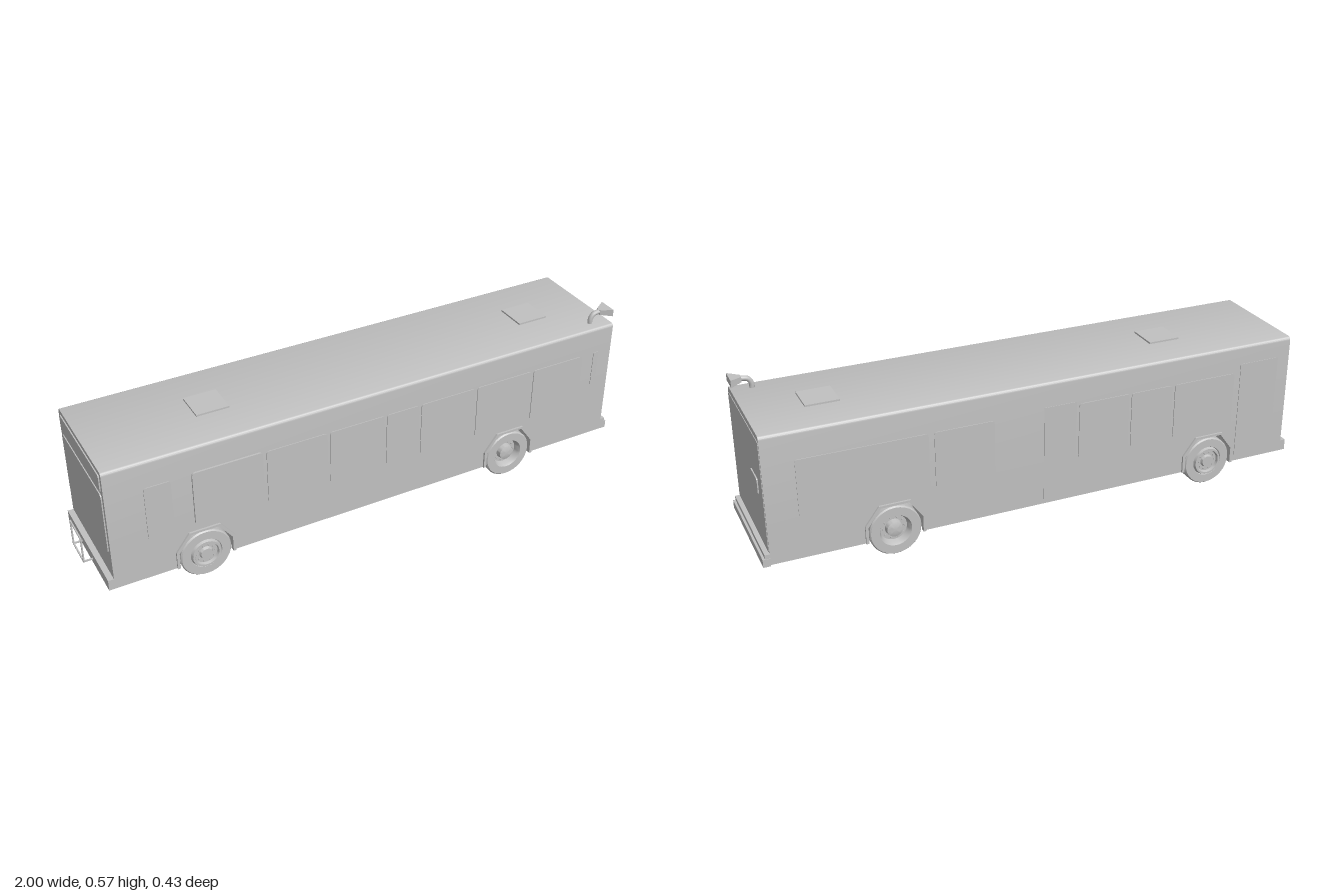
import * as THREE from 'three';
import { toCreasedNormals } from 'three/addons/utils/BufferGeometryUtils.js';

const HALF = 0.205, FLOOR = 0.065, ARCH = 0.2, ROOF = 0.52;
const BACK = 0.975, FRONT = -0.947;
const AXLES = [-0.63, 0.555];

export function createModel() {
  const bus = new THREE.Group();
  bus.name = 'bus';
  const grey = new THREE.MeshStandardMaterial({ color: 0xc0c0c0 });
  grey.name = 'plain grey';

  function add(name, geometry, parent = bus) {
    const mesh = new THREE.Mesh(geometry, grey);
    mesh.name = name;
    parent.add(mesh);
    return mesh;
  }
  function box(name, x0, x1, y0, y1, z0, z1) {
    const mesh = add(name, new THREE.BoxGeometry(x1 - x0, y1 - y0, z1 - z0));
    mesh.position.set((x0 + x1) / 2, (y0 + y1) / 2, (z0 + z1) / 2);
    return mesh;
  }
  const extrude = (shape, depth) =>
    new THREE.ExtrudeGeometry(shape, { depth, bevelEnabled: false, curveSegments: 5 });
  const polygon = (points) => new THREE.Shape(points.map(([x, y]) => new THREE.Vector2(x, y)));

  function roundedRect(w, h, r) {
    const s = new THREE.Shape(), a = w / 2, b = h / 2;
    s.moveTo(-a + r, -b).lineTo(a - r, -b).quadraticCurveTo(a, -b, a, -b + r);
    s.lineTo(a, b - r).quadraticCurveTo(a, b, a - r, b);
    s.lineTo(-a + r, b).quadraticCurveTo(-a, b, -a, b - r);
    s.lineTo(-a, -b + r).quadraticCurveTo(-a, -b, -a + r, -b);
    return s;
  }
  // Raised plate on a long side: side +1 is +z, -1 is -z
  function sidePlate(name, side, x0, x1, y0, y1, thick = 0.003, r = 0.012) {
    const mesh = add(name, extrude(roundedRect(x1 - x0, y1 - y0, r), thick));
    mesh.position.set((x0 + x1) / 2, (y0 + y1) / 2, side * HALF);
    if (side < 0) mesh.rotation.y = Math.PI;
  }
  // Raised plate on an end wall: dir +1 is +x, -1 is -x
  function endPlate(name, dir, z0, z1, y0, y1, thick = 0.003, r = 0.01) {
    const mesh = add(name, extrude(roundedRect(z1 - z0, y1 - y0, r), thick));
    mesh.position.set(dir > 0 ? BACK : FRONT, (y0 + y1) / 2, (z0 + z1) / 2);
    mesh.rotation.y = dir * Math.PI / 2;
  }

  // Upper body: rounded roof section swept along the length
  const r = 0.013;
  const section = new THREE.Shape();
  section.moveTo(-HALF, ARCH).lineTo(HALF, ARCH).lineTo(HALF, ROOF - r);
  section.quadraticCurveTo(HALF, ROOF, HALF - r, ROOF).lineTo(-HALF + r, ROOF);
  section.quadraticCurveTo(-HALF, ROOF, -HALF, ROOF - r);
  const upper = add('upperBody', toCreasedNormals(extrude(section, BACK - FRONT).rotateY(Math.PI / 2), 0.6));
  upper.position.x = FRONT;

  // Lower body in lengthwise slabs: skirts with arches, wheel wells, central floor
  const archPoints = (cx, s) => [
    [cx - 0.097 * s, FLOOR], [cx - 0.097 * s, 0.125], [cx - 0.05 * s, 0.187],
    [cx + 0.05 * s, 0.187], [cx + 0.097 * s, 0.125], [cx + 0.097 * s, FLOOR]];
  const top = [[BACK, ARCH], [FRONT, ARCH]];
  const skirt = polygon([[FRONT, FLOOR], ...AXLES.flatMap((x) => archPoints(x, 0.97)), [BACK, FLOOR], ...top]);
  for (const z of [0.193, -HALF]) add('skirt', extrude(skirt, HALF - 0.193)).position.z = z;

  function floorPiece(x0, x1, z0, z1) {
    box('underfloor', x0, x1, FLOOR, ARCH, z0, z1);
  }
  const well = 0.1;
  for (const [z0, z1] of [[0.085, 0.193], [-0.193, -0.085]]) {
    floorPiece(FRONT, AXLES[0] - well, z0, z1);
    floorPiece(AXLES[0] + well, AXLES[1] - well, z0, z1);
    floorPiece(AXLES[1] + well, 0.77, z0, z1);
  }
  floorPiece(FRONT, 0.77, -0.085, 0.085);
  box('rearLowerWall', 0.96, BACK, FLOOR, ARCH, -0.193, 0.193);

  // Arch trims: octagonal rims standing proud of the skirts
  for (const x of AXLES) {
    const trim = polygon([
      [x - 0.104, FLOOR], [x - 0.104, 0.13], [x - 0.055, 0.195], [x + 0.055, 0.195],
      [x + 0.104, 0.13], [x + 0.104, FLOOR], ...archPoints(x, 0.97).reverse()]);
    for (const z of [HALF, -HALF - 0.007]) add('archTrim', extrude(trim, 0.007)).position.z = z;
  }

  // Wheels: turned profiles of [radius, distance outward]
  const rearProfile = [[0, 0], [0.086, 0], [0.09, 0.005], [0.09, 0.049], [0.086, 0.054], [0.056, 0.054],
    [0.051, 0.045], [0.047, 0.028], [0.03, 0.028], [0.027, 0.046], [0.015, 0.05], [0, 0.05]];
  const frontProfile = [[0, 0], [0.086, 0], [0.09, 0.005], [0.09, 0.049], [0.086, 0.054], [0.056, 0.054],
    [0.054, 0.05], [0.05, 0.06], [0.043, 0.06], [0.04, 0.05], [0.024, 0.05], [0.02, 0.059], [0, 0.059]];
  function wheel(name, x, side, inner, profile, boltDepth, boltRadius) {
    const group = new THREE.Group();
    group.name = name;
    const pts = profile.map(([a, b]) => new THREE.Vector2(a, b));
    add('tyreAndRim', toCreasedNormals(new THREE.LatheGeometry(pts, 32).rotateX(Math.PI / 2), 0.5), group);
    for (let i = 0; boltDepth && i < 10; i++) {
      const a = (i / 10) * Math.PI * 2;
      add('wheelNut', new THREE.CylinderGeometry(0.003, 0.003, 0.01, 6).rotateX(Math.PI / 2), group)
        .position.set(Math.cos(a) * boltRadius, Math.sin(a) * boltRadius, boltDepth);
    }
    group.position.set(x, 0.09, side * inner);
    if (side < 0) group.rotation.y = Math.PI;
    bus.add(group);
  }
  for (const side of [1, -1]) {
    wheel('frontWheel', AXLES[0], side, 0.153, frontProfile, 0.051, 0.032);
    wheel('rearOuterWheel', AXLES[1], side, 0.153, rearProfile, 0.03, 0.038);
    wheel('rearInnerWheel', AXLES[1], side, 0.097, rearProfile, 0, 0);
  }

  // Windows and doors
  const leftWindows = [[-0.82, -0.73], [-0.4, -0.18], [-0.17, 0.035], [0.045, 0.17],
    [0.18, 0.395], [0.405, 0.63], [0.64, 0.85]];
  for (const [a, b] of leftWindows) sidePlate('sideWindow', 1, a, b, 0.215, 0.42);
  sidePlate('driverSideWindow', 1, -0.66, -0.415, 0.22, 0.425, 0.007);
  sidePlate('sideVent', 1, 0.9, 0.92, 0.28, 0.42, 0.002, 0.003);
  const rightWindows = [[0.43, 0.87], [0.2, 0.41], [-0.3, -0.11], [-0.47, -0.31], [-0.72, -0.48]];
  for (const [a, b] of rightWindows) sidePlate('sideWindow', -1, a, b, 0.215, 0.42);
  sidePlate('rearDoor', -1, -0.1, 0.02, 0.08, 0.43, 0.002, 0.004);
  sidePlate('frontDoor', -1, -0.9, -0.745, 0.08, 0.45, 0.002, 0.004);

  // End walls
  endPlate('windscreen', -1, -0.19, 0.19, 0.2, 0.43, 0.004, 0.015);
  endPlate('destinationPanel', -1, -0.19, 0.19, 0.44, 0.505, 0.004);
  endPlate('rearPanel', 1, -0.2, 0.2, 0.11, 0.5, 0.002, 0.01);
  endPlate('rearHatch', 1, -0.15, -0.065, 0.293, 0.35, 0.006);

  // Bumpers
  box('rearBumper', BACK, 1, FLOOR, 0.093, -0.212, HALF);
  box('rearBumperStep', BACK, 0.992, 0.093, 0.108, -0.21, HALF);
  box('frontBumper', -0.967, FRONT, FLOOR, 0.105, -HALF, HALF);

  // Roof hatches
  for (const x of [-0.515, 0.73]) box('roofHatch', x - 0.058, x + 0.058, ROOF - 0.002, 0.526, -0.058, 0.055);

  // Folded bicycle rack on the nose
  const rod = 0.0025;
  for (const z of [-0.055, 0.05]) {
    box('rackArm', -1, -0.96, 0.08, 0.08 + 2 * rod, z - rod, z + rod);
    box('rackUpright', -1, -1 + 2 * rod, 0.08, 0.18, z - rod, z + rod);
  }
  for (const y of [0.08, 0.175]) box('rackBar', -1, -1 + 2 * rod, y, y + 2 * rod, -0.055, 0.05);

  // Exhaust: bent stack with a flared outlet
  const stack = new THREE.CatmullRomCurve3([
    [0.905, 0.51], [0.905, 0.535], [0.915, 0.552], [0.932, 0.557], [0.955, 0.557],
  ].map(([x, y]) => new THREE.Vector3(x, y, 0.16)));
  add('exhaustStack', new THREE.TubeGeometry(stack, 16, 0.009, 10));
  const flare = new THREE.BoxGeometry(0.04, 0.026, 0.068);
  const p = flare.attributes.position;
  for (let i = 0; i < p.count; i++) {
    if (p.getX(i) < 0) p.setXYZ(i, p.getX(i), p.getY(i) * 0.7, p.getZ(i) * 0.28);
  }
  flare.computeVertexNormals();
  add('exhaustOutlet', flare).position.set(0.958, 0.557, 0.16);

  return bus;
}
